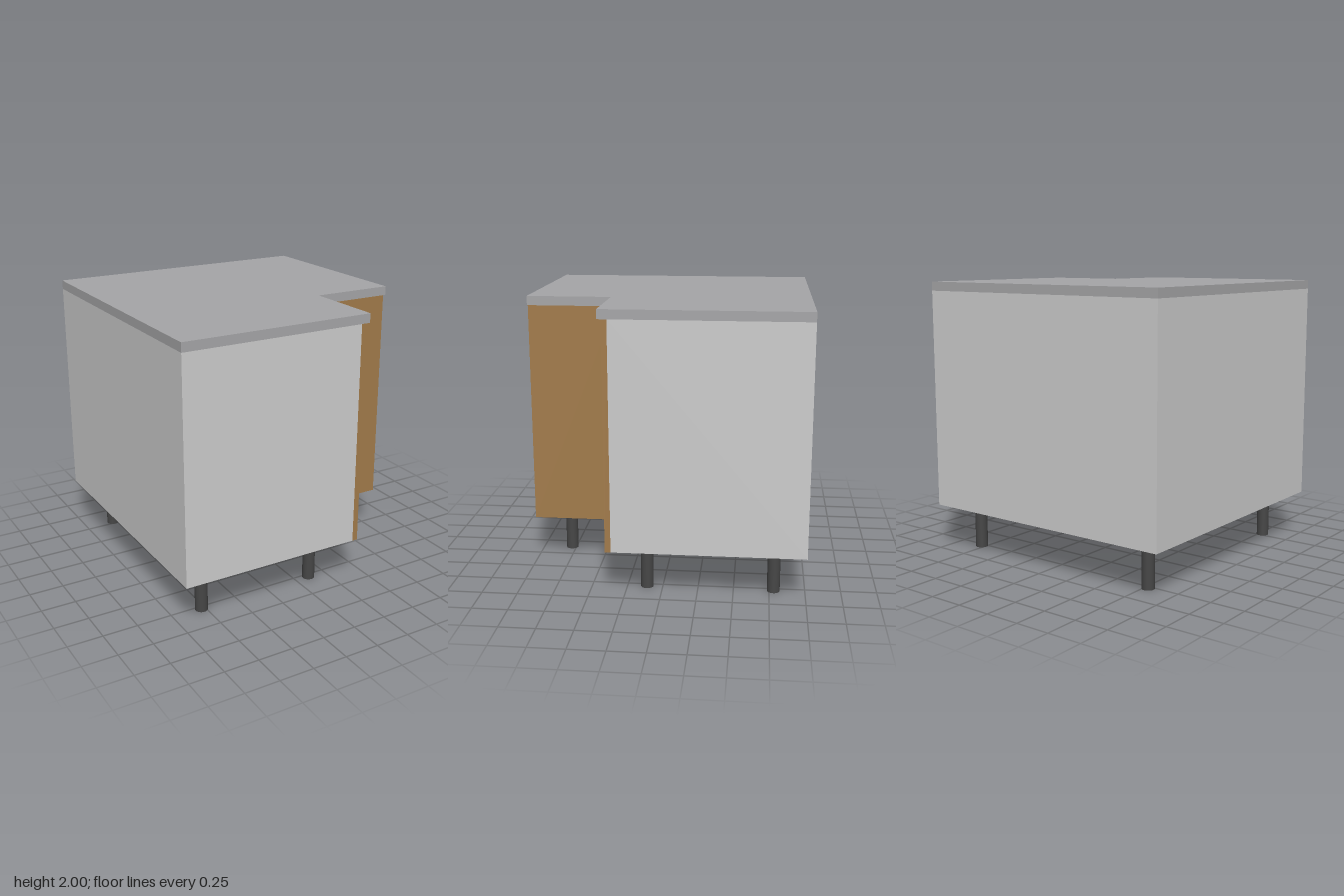
import * as THREE from 'three';

const mat = (color) => new THREE.MeshStandardMaterial({ color });

function add(group, name, geometry, material, x = 0, y = 0, z = 0) {
  const mesh = new THREE.Mesh(geometry, material);
  mesh.name = name;
  mesh.position.set(x, y, z);
  group.add(mesh);
  return mesh;
}

// L-shaped slab: a 2 x 2 square with its front left corner cut away from x, z = notch
function cornerSlab(notch, height) {
  const outline = [[-1, -1], [notch, -1], [notch, -notch], [1, -notch], [1, 1], [-1, 1]];
  const shape = new THREE.Shape(outline.map(([x, y]) => new THREE.Vector2(x, y)));
  return new THREE.ExtrudeGeometry(shape, { depth: height, bevelEnabled: false }).rotateX(-Math.PI / 2);
}

export function createModel() {
  const model = new THREE.Group();
  model.name = 'cornerCabinet';
  const wood = mat(0xa27b4a);
  const dark = mat(0x464646);
  const metal = mat(0x646468);

  const bottom = 0.335, top = 1.935, height = top - bottom;
  const inner = 0.335, doorThickness = 0.04, doorFace = inner + doorThickness;

  // Carcass and worktop
  add(model, 'carcass', cornerSlab(inner, height), mat(0xcccccc), 0, bottom, 0);
  add(model, 'worktop', cornerSlab(0.4, 2 - top), mat(0xa5a5a7), 0, top, 0);

  // Two doors meeting in the inner corner
  const midY = (bottom + top) / 2;
  const sideLength = 1 - doorFace;
  add(model, 'sideDoor', new THREE.BoxGeometry(doorThickness, height, sideLength), wood,
    inner + doorThickness / 2, midY, doorFace + sideLength / 2);
  add(model, 'frontDoor', new THREE.BoxGeometry(1 - inner, height, doorThickness), wood,
    (1 + inner) / 2, midY, inner + doorThickness / 2);

  // Pair of small knobs in the corner
  const knob = new THREE.CylinderGeometry(0.032, 0.032, 0.043, 16);
  add(model, 'uprightKnob', knob, metal, 0.443, 1.715, 0.4);
  add(model, 'facingKnob', knob, metal, 0.4, 1.715, 0.448).rotation.x = Math.PI / 2;

  // Six legs
  const legHeight = 0.315;
  const leg = new THREE.CylinderGeometry(0.045, 0.045, legHeight, 24);
  const legs = [[-0.78, -0.78], [0.78, -0.78], [-0.78, 0.78], [0.11, 0.11], [0.78, 0.11], [0.11, 0.78]];
  legs.forEach(([x, z], i) => add(model, `leg${i + 1}`, leg, dark, x, legHeight / 2, z));

  return model;
}
